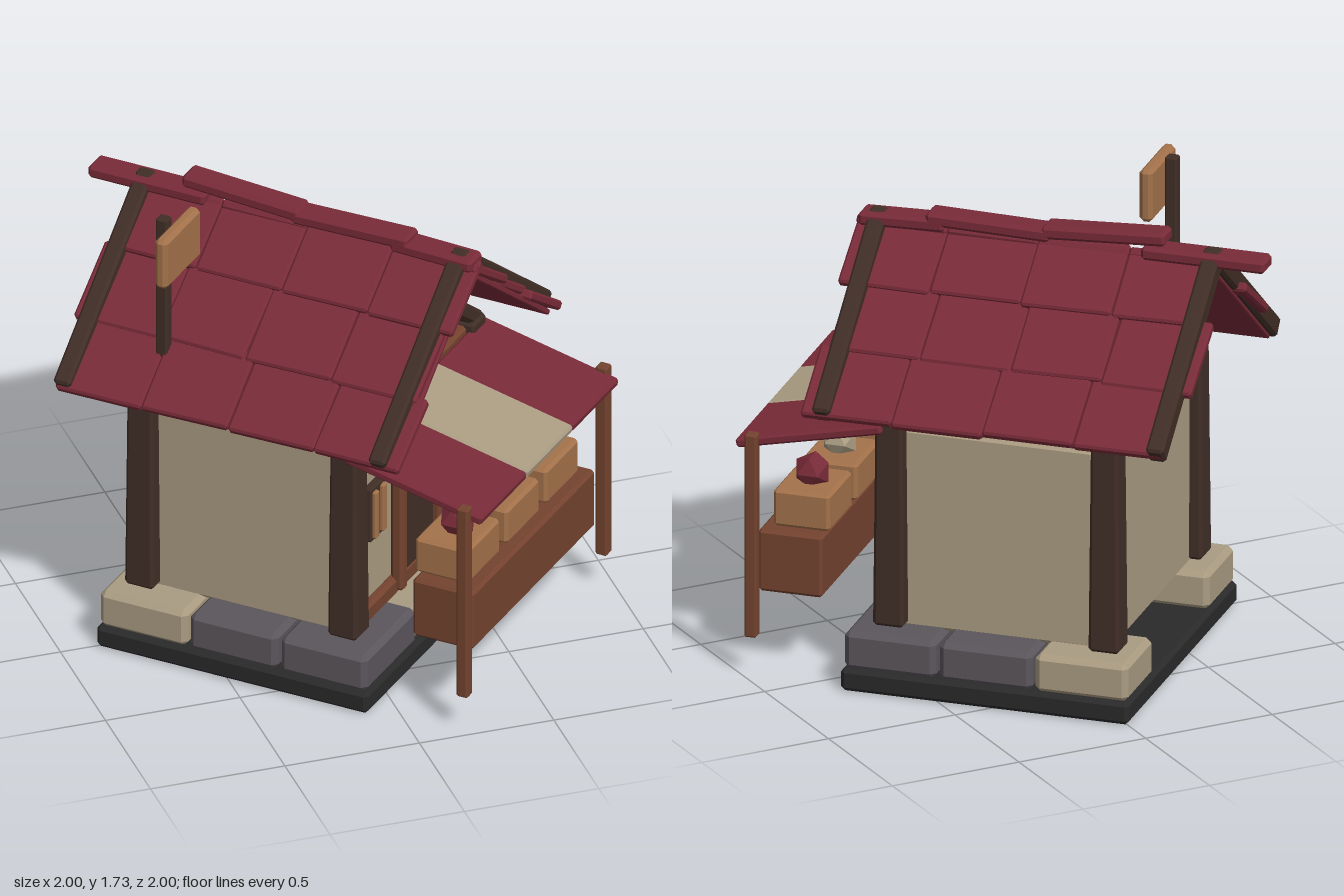
import * as THREE from 'three';
import { ConvexGeometry } from 'three/addons/geometries/ConvexGeometry.js';

const mat = (name, color) => {
  const m = new THREE.MeshStandardMaterial({ color });
  m.name = name;
  return m;
};

// Box with chamfered edges; "taper" narrows its top
function chamferBox(w, h, d, c = 0.012, taper = 1) {
  const pts = [];
  for (const sx of [-1, 1]) for (const sy of [-1, 1]) for (const sz of [-1, 1]) {
    const t = sy > 0 ? taper : 1;
    const x = w / 2, y = h / 2, z = d / 2;
    pts.push(
      new THREE.Vector3(sx * x * t, sy * (y - c), sz * (z - c) * t),
      new THREE.Vector3(sx * (x - c) * t, sy * y, sz * (z - c) * t),
      new THREE.Vector3(sx * (x - c) * t, sy * (y - c), sz * z * t));
  }
  return new ConvexGeometry(pts);
}

export function createModel() {
  const maroon = mat('maroon', 0x782b38);
  const beige = mat('beige plaster', 0xaa9c82);
  const darkWood = mat('dark wood', 0x402e26);
  const brownWood = mat('brown wood', 0x74432f);
  const tan = mat('tan wood', 0xa3724a);
  const stone = mat('grey stone', 0x5b565c);
  const slabMat = mat('dark slab', 0x2a2a2b);

  let seed = 7;
  const jitter = (a) => {
    seed = (seed * 16807) % 2147483647;
    return (seed / 2147483647 - 0.5) * 2 * a;
  };

  const model = new THREE.Group();
  model.name = 'marketHouse';
  const house = new THREE.Group();
  house.name = 'house';
  house.rotation.y = Math.PI / 4; // the house stands turned on its corner
  model.add(house);

  const add = (name, geo, material, x, y, z, parent = house) => {
    const m = new THREE.Mesh(geo, material);
    m.name = name;
    m.position.set(x, y, z);
    parent.add(m);
    return m;
  };
  const box = (name, material, w, h, d, x, y, z, c, parent) =>
    add(name, chamferBox(w, h, d, c), material, x, y, z, parent);

  // Foundation: slab and a ring of stones, open in the middle of the back
  box('slab', slabMat, 1.24, 0.085, 1.07, 0, 0.0425, -0.078, 0.015);
  for (const s of [-1, 1]) {
    box('frontStone', stone, 0.405, 0.145, 0.34, s * 0.407, 0.152, 0.277, 0.02);
    box('sideStone', stone, 0.3, 0.145, 0.345, s * 0.46, 0.152, -0.078, 0.02);
    box('backStone', beige, 0.3, 0.145, 0.345, s * 0.46, 0.152, -0.433, 0.02);
  }
  box('middleStone', beige, 0.4, 0.145, 0.33, 0, 0.152, 0.277, 0.02);

  // Walls and corner posts
  box('backWall', beige, 0.9, 0.755, 0.07, 0, 0.588, -0.465, 0.015);
  box('frontWall', beige, 0.9, 0.755, 0.06, 0, 0.588, 0.285, 0.015);
  for (const s of [-1, 1]) {
    box('sideWall', beige, 0.06, 0.755, 0.78, s * 0.44, 0.588, -0.09, 0.015);
    for (const z of [-0.49, 0.31])
      add('cornerPost', chamferBox(0.115, 0.8, 0.115, 0.012, 0.88), darkWood, s * 0.47, 0.625, z);
  }

  // Back gable
  const g = new THREE.Shape([[-0.44, 0.94], [0.44, 0.94], [0.44, 1.1], [0, 1.47], [-0.44, 1.1]]
    .map(([x, y]) => new THREE.Vector2(x, y)));
  add('backGable', new THREE.ExtrudeGeometry(g, { depth: 0.05, bevelEnabled: false }), beige, 0, 0, -0.485);

  // Open front gable: cross beam and rafters
  box('frontBeam', brownWood, 0.9, 0.06, 0.06, 0, 0.98, 0.3);
  const angle = Math.atan(0.785);
  for (const s of [-1, 1]) {
    const r = box('rafter', darkWood, 0.66, 0.06, 0.06, s * 0.25, 1.2, 0.32);
    r.rotation.z = -s * angle;
  }

  // Door, sill and narrow windows on the front
  box('door', darkWood, 0.3, 0.53, 0.03, 0, 0.51, 0.33, 0.005);
  box('doorLintel', tan, 0.36, 0.05, 0.07, 0, 0.8, 0.37);
  box('sill', brownWood, 0.82, 0.07, 0.04, 0, 0.262, 0.33);
  for (const s of [-1, 1]) {
    box('doorJamb', brownWood, 0.045, 0.53, 0.05, s * 0.15, 0.51, 0.35);
    box('windowFrame', darkWood, 0.11, 0.22, 0.035, s * 0.31, 0.65, 0.33, 0.008);
    for (const t of [-1, 1])
      box('windowRail', tan, 0.03, 0.19, 0.03, s * 0.31 + t * 0.03, 0.65, 0.347, 0.005);
  }

  // Roof: a board under overlapping tiles on each slope, with verge boards
  const length = 0.825;
  for (const s of [-1, 1]) {
    const slope = new THREE.Group();
    slope.name = s > 0 ? 'leftRoof' : 'rightRoof';
    slope.position.set(0, 1.565, 0);
    slope.rotation.z = -s * angle;
    house.add(slope);
    box('roofBoard', maroon, length - 0.03, 0.02, 1.3, s * length / 2, -0.045, -0.085, 0.004, slope);
    for (let row = 0; row < 3; row++) for (let col = 0; col < 4; col++) {
      const t = box('roofTile', maroon, 0.3 + jitter(0.015), 0.035, 0.335,
        s * (0.14 + row * 0.272), -0.018 + jitter(0.006),
        -0.59 + col * 0.337 + (row === 1 ? -0.03 : 0.005), 0.008, slope);
      t.rotation.z = s * 0.05;
      t.rotation.y = jitter(0.02);
    }
    for (const z of [-0.725, 0.515])
      box('vergeBoard', darkWood, length + 0.02, 0.075, 0.065, s * (length / 2 - 0.005), -0.005, z, 0.01, slope);
  }
  // Ridge caps: centre z, height, length and tilt
  for (const [z, y, l, tilt] of [[-0.7, 1.56, 0.46, 0], [-0.33, 1.605, 0.46, 0.06],
    [0.1, 1.585, 0.46, -0.02], [0.42, 1.565, 0.32, 0.03]]) {
    const cap = box('ridgeCap', maroon, 0.1, 0.05, l, 0, y, z);
    cap.rotation.x = tilt;
  }

  // Striped awning on two poles
  const awning = new THREE.Group();
  awning.name = 'awning';
  awning.position.set(0, 0.918, 0.6);
  awning.rotation.x = Math.atan2(0.115, 0.53);
  house.add(awning);
  for (const i of [-1, 0, 1])
    box('awningStripe', i ? maroon : beige, 0.363, 0.035, 0.55, i * 0.363, 0, 0, 0.008, awning);
  for (const s of [-1, 1])
    box('awningPole', brownWood, 0.045, 0.77, 0.045, s * 0.55, 0.525, 0.806, 0.006);

  // Counter with crates of produce
  box('counter', brownWood, 0.97, 0.235, 0.24, 0, 0.402, 0.687);
  for (const i of [-1, 0, 1]) {
    box('crate', tan, 0.26, 0.14, 0.21, i * 0.31, 0.59, 0.66);
    add('produce', new THREE.IcosahedronGeometry(0.07, 0), i ? maroon : beige, i * 0.31, 0.695, 0.66);
  }

  // Sign standing above the roof
  box('signPost', darkWood, 0.045, 0.78, 0.045, -0.467, 1.34, -0.42, 0.006);
  box('signBoard', tan, 0.28, 0.2, 0.05, -0.467, 1.62, -0.365, 0.015);

  return model;
}
